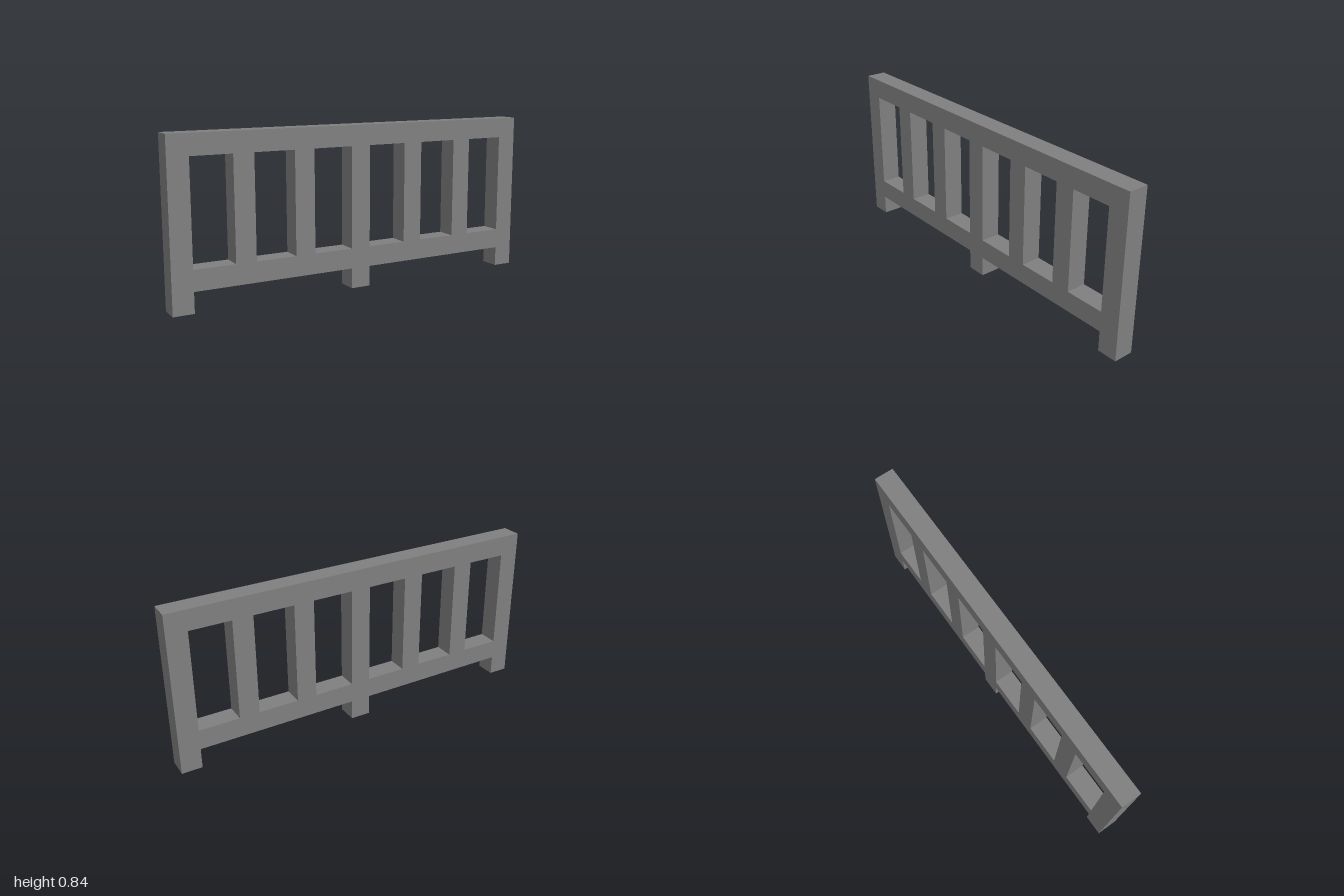
import * as THREE from 'three';

// Everything sits on a square module: 19 wide, 8 high, 1 deep
const U = 2 / 19;
const BALUSTERS = 7;
const PITCH = 3;

function polygon(Type, points) {
  return new Type(points.map(([x, y]) => new THREE.Vector2(x * U, y * U)));
}

export function createModel() {
  const group = new THREE.Group();
  group.name = 'railing';
  const grey = new THREE.MeshStandardMaterial({ color: 0x808080 });
  grey.name = 'grey';

  // Outline with a foot at each end and one in the middle
  const outline = polygon(THREE.Shape, [
    [-9.5, 0], [-8.5, 0], [-8.5, 1], [-0.5, 1], [-0.5, 0], [0.5, 0],
    [0.5, 1], [8.5, 1], [8.5, 0], [9.5, 0], [9.5, 8], [-9.5, 8],
  ]);

  // Openings between the balusters
  for (let i = 0; i < BALUSTERS - 1; i++) {
    const x = -8.5 + i * PITCH;
    outline.holes.push(polygon(THREE.Path, [[x, 2], [x, 7], [x + 2, 7], [x + 2, 2]]));
  }

  const geometry = new THREE.ExtrudeGeometry(outline, { depth: U, bevelEnabled: false });
  geometry.translate(0, 0, -U / 2);
  const frame = new THREE.Mesh(geometry, grey);
  frame.name = 'railingFrame';
  group.add(frame);
  return group;
}
